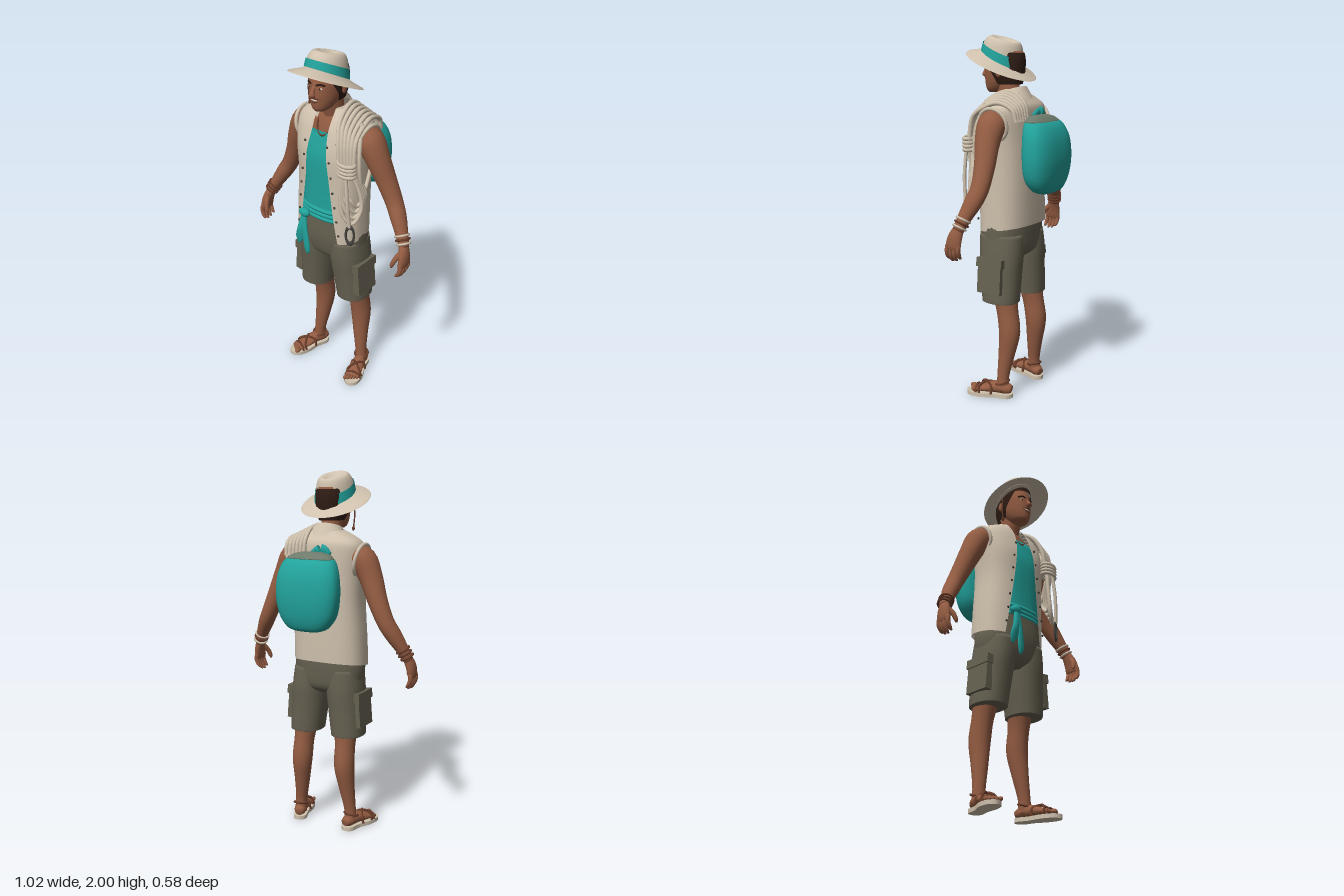
import * as THREE from 'three';

const paint = (name, color, side = THREE.FrontSide) => {
  const m = new THREE.MeshStandardMaterial({ color, side });
  m.name = name;
  return m;
};
const V = (x, y, z) => new THREE.Vector3(x, y, z);

export function createModel() {
  const root = new THREE.Group();
  root.name = 'traveller';
  const D = THREE.DoubleSide;
  const skin = paint('skin', 0x935c42);
  const cream = paint('cream cloth', 0xcfc1ad, D);
  const teal = paint('teal cloth', 0x22a29b, D);
  const khaki = paint('khaki cloth', 0x656050, D);
  const leather = paint('leather', 0x683c2a, D);
  const hairMat = paint('dark hair', 0x2f1d15, D);
  const white = paint('white', 0xe6ddd0);
  const metal = paint('dark metal', 0x45433e);
  const lidMat = paint('pack lid', 0x6d7a6b);

  const add = (name, geo, mat, parent = root) => {
    const m = new THREE.Mesh(geo, mat);
    m.name = name;
    parent.add(m);
    return m;
  };

  // Rows of numbers, smoothed column by column
  const smooth = (rows, k) => {
    const out = [];
    const at = i => rows[Math.max(0, Math.min(rows.length - 1, i))];
    for (let i = 0; i < rows.length - 1; i++) for (let j = 0; j < k; j++) {
      const t = j / k;
      out.push(rows[i].map((p, c) => {
        const a = at(i - 1)[c], q = at(i + 1)[c], d = at(i + 2)[c];
        return p + 0.5 * t * (q - a + t * (2 * a - 5 * p + 4 * q - d + t * (3 * (p - q) + d - a)));
      }));
    }
    out.push(rows[rows.length - 1]);
    return out;
  };

  // Surface through equal-length rings
  const ringsToGeometry = (rings, closed, cap) => {
    const pos = [], idx = [], n = rings[0].length;
    rings.forEach(r => r.forEach(p => pos.push(p.x, p.y, p.z)));
    for (let i = 0; i < rings.length - 1; i++) for (let j = 0; j < (closed ? n : n - 1); j++) {
      const a = i * n + j, b = i * n + (j + 1) % n;
      idx.push(a, b, b + n, a, b + n, a + n);
    }
    if (cap) [0, rings.length - 1].forEach((r, end) => {
      const c = rings[r].reduce((s, p) => s.add(p), V(0, 0, 0)).divideScalar(n);
      const ci = pos.length / 3;
      pos.push(c.x, c.y, c.z);
      for (let j = 0; j < n; j++) {
        const a = r * n + j, b = r * n + (j + 1) % n;
        if (end) idx.push(ci, a, b); else idx.push(ci, b, a);
      }
    });
    const g = new THREE.BufferGeometry();
    g.setAttribute('position', new THREE.Float32BufferAttribute(pos, 3));
    g.setIndex(idx);
    g.computeVertexNormals();
    return g;
  };

  // Upright body from rows [y, cx, cz, rx, rz, tilt, gapRight, gapLeft]
  const loft = (name, mat, rows, { n = 2, seg = 44, k = 4, gap = false, cap = !gap } = {}) => {
    const rings = smooth(rows, k).map(([y, cx, cz, rx, rz, tilt = 0, xr = 0, xl = 0]) => {
      const edge = x => Math.asin(Math.min(1, Math.pow(x / rx, n / 2)));
      const a0 = gap ? edge(xl) : 0, a1 = Math.PI * 2 - (gap ? edge(xr) : 0);
      return Array.from({ length: seg }, (_, j) => {
        const a = a0 + (a1 - a0) * j / (gap ? seg - 1 : seg);
        const pw = v => Math.sign(v) * Math.pow(Math.abs(v), 2 / n);
        const d = rz * pw(Math.cos(a));
        return V(cx + rx * pw(Math.sin(a)), y + d * Math.sin(tilt), cz + d * Math.cos(tilt));
      });
    });
    return add(name, ringsToGeometry(rings, !gap, cap), mat);
  };

  // Limb along rows [x, y, z, radiusAcross, radiusDeep]
  const limb = (name, mat, rows, parent = root, seg = 18, k = 4) => {
    const r = smooth(rows, k), p = r.map(q => V(q[0], q[1], q[2]));
    const rings = r.map((q, i) => {
      const t = p[Math.min(i + 1, p.length - 1)].clone().sub(p[Math.max(i - 1, 0)]).normalize();
      const u = V(1, 0, 0).addScaledVector(t, -t.x).normalize();
      const v = t.clone().cross(u);
      return Array.from({ length: seg }, (_, j) => {
        const a = j / seg * Math.PI * 2;
        return p[i].clone().addScaledVector(u, q[3] * Math.cos(a)).addScaledVector(v, q[4] * Math.sin(a));
      });
    });
    return add(name, ringsToGeometry(rings, true, true), mat, parent);
  };
  const cord = (name, mat, pts, r, closed = false, parent = root) => add(name, new THREE.TubeGeometry(
    new THREE.CatmullRomCurve3(pts.map(p => V(...p)), closed), 48, r, 8, closed), mat, parent);
  const ball = (name, mat, p, s, parent = root) => {
    const m = add(name, new THREE.SphereGeometry(1, 16, 12), mat, parent);
    m.position.set(...p);
    m.scale.set(...s);
    return m;
  };
  const hoop = (name, mat, p, dir, r, tube, parent = root) => {
    const m = add(name, new THREE.TorusGeometry(r, tube, 8, 28), mat, parent);
    m.position.set(...p);
    m.quaternion.setFromUnitVectors(V(0, 0, 1), V(...dir).normalize());
    return m;
  };

  // Hat
  const brim = [];
  for (let i = 0; i <= 12; i++) {
    const t = i / 12, mix = (a, b) => a + (b - a) * t;
    brim.push([mix(1.832, 1.866) + (i % 2) * 0.004, 0, mix(0.1, 0.09), mix(0.19, 0.1), mix(0.207, 0.122), mix(0.4, 0.46)]);
  }
  loft('hatBrim', cream, brim, { k: 1, cap: false, seg: 60 });
  loft('hatCrown', cream, [[1.86, 0, 0.09, 0.106, 0.13, 0.46], [1.91, 0, 0.084, 0.1, 0.122, 0.42], [1.95, 0, 0.076, 0.088, 0.106, 0.32],
    [1.971, 0, 0.07, 0.072, 0.088, 0.28], [1.97, 0, 0.07, 0.05, 0.07, 0.26], [1.955, 0, 0.068, 0.025, 0.045, 0.25]]);
  loft('hatBand', teal, [[1.868, 0, 0.09, 0.11, 0.134, 0.46], [1.915, 0, 0.084, 0.103, 0.125, 0.42]], { cap: false });
  cord('hatCord', leather, [[-0.11, 1.83, 0.1], [-0.115, 1.76, 0.1], [-0.108, 1.69, 0.1]], 0.004);
  ball('cordBead', leather, [-0.108, 1.69, 0.1], [0.008, 0.012, 0.008]);

  // Head and face
  loft('head', skin, [[1.69, 0, 0.135, 0.028, 0.04], [1.708, 0, 0.122, 0.05, 0.066], [1.75, 0, 0.1, 0.07, 0.094],
    [1.8, 0, 0.085, 0.08, 0.11], [1.85, 0, 0.075, 0.084, 0.115], [1.91, 0, 0.07, 0.078, 0.1]]);
  limb('neck', skin, [[0, 1.58, 0.01, 0.066, 0.066], [0, 1.65, 0.035, 0.056, 0.06], [0, 1.75, 0.06, 0.056, 0.065]]);
  limb('nose', skin, [[0, 1.83, 0.184, 0.008, 0.008], [0, 1.8, 0.203, 0.012, 0.012], [0, 1.785, 0.207, 0.018, 0.014], [0, 1.774, 0.196, 0.012, 0.006]]);
  ball('teeth', white, [0, 1.755, 0.184], [0.026, 0.008, 0.012]);
  cord('upperLip', leather, [[-0.033, 1.763, 0.18], [0, 1.766, 0.197], [0.033, 1.763, 0.18]], 0.004);
  cord('lowerLip', leather, [[-0.033, 1.763, 0.18], [0, 1.744, 0.194], [0.033, 1.763, 0.18]], 0.004);
  loft('hairBack', hairMat, [[1.735, 0, 0.055, 0.066, 0.085, 0, 0.063, 0.063], [1.79, 0, 0.07, 0.086, 0.112, 0, 0.082, 0.082],
    [1.86, 0, 0.072, 0.09, 0.118, 0, 0.07, 0.07], [1.9, 0, 0.072, 0.086, 0.11, 0, 0.05, 0.05]], { gap: true });
  loft('hairline', hairMat, [[1.868, 0, 0.076, 0.09, 0.119, 0.1], [1.91, 0, 0.076, 0.086, 0.112, 0.1]], { cap: false });
  for (const s of [1, -1]) {
    ball('eye', white, [s * 0.032, 1.818, 0.18], [0.013, 0.005, 0.006]);
    ball('pupil', hairMat, [s * 0.032, 1.818, 0.185], [0.005, 0.005, 0.003]);
    cord('eyebrow', hairMat, [[s * 0.014, 1.835, 0.19], [s * 0.034, 1.841, 0.184], [s * 0.054, 1.834, 0.168]], 0.005);
    ball('ear', skin, [s * 0.086, 1.8, 0.06], [0.01, 0.028, 0.018]);
  }

  // Torso, undershirt and waist
  loft('chest', skin, [[1.5, 0, 0.015, 0.16, 0.112], [1.6, 0, 0.01, 0.13, 0.095], [1.66, 0, 0.02, 0.07, 0.062]]);
  loft('undershirt', teal, [[1.03, 0, 0.03, 0.182, 0.134], [1.2, 0, 0.03, 0.178, 0.133], [1.4, 0, 0.033, 0.185, 0.134],
    [1.5, 0, 0.026, 0.185, 0.124], [1.58, 0, 0.015, 0.165, 0.115, -0.35]], { n: 2.4, cap: false });
  for (let i = 0; i < 3; i++) loft('sashFold', teal, [[1.06 + i * 0.024, 0, 0.03, 0.184, 0.136, -0.05], [1.074 + i * 0.024, 0, 0.03, 0.19, 0.144, -0.05],
    [1.088 + i * 0.024, 0, 0.03, 0.184, 0.136, -0.05]], { n: 2.4, cap: false });
  ball('sashKnot', teal, [-0.09, 1.075, 0.182], [0.036, 0.026, 0.022]);
  [[-0.12, 0.87, 0.02], [-0.065, 0.82, 0.017], [-0.09, 0.9, 0.024]].forEach(([x, y, w], i) => limb('sashTail', teal,
    [[-0.09, 1.07, 0.185, 0.015, 0.01], [(x - 0.09) / 2, 0.98, 0.2 - i * 0.004, w, 0.011], [x, y + 0.04, 0.195, w * 1.2, 0.008], [x - 0.005, y, 0.19, 0.006, 0.004]]));
  cord('necklace', leather, [[-0.062, 1.63, 0.07], [-0.042, 1.575, 0.12], [0, 1.545, 0.138], [0.042, 1.575, 0.12], [0.062, 1.63, 0.07]], 0.005);

  // Open vest with collar and buttons
  loft('vest', cream, [[0.955, -0.012, 0.03, 0.208, 0.145, -0.15, 0.13, 0.13], [1.1, -0.008, 0.03, 0.205, 0.146, -0.06, 0.11, 0.105],
    [1.3, 0, 0.03, 0.2, 0.147, 0, 0.085, 0.075], [1.45, 0, 0.032, 0.207, 0.146, 0, 0.07, 0.06], [1.56, 0, 0.02, 0.214, 0.132, 0, 0.055, 0.05],
    [1.62, 0, 0.01, 0.2, 0.117, 0, 0.055, 0.05], [1.655, 0, 0.01, 0.15, 0.095, 0, 0.055, 0.05], [1.685, 0, 0.012, 0.085, 0.075, 0, 0.052, 0.048]],
  { n: 2.6, gap: true, seg: 64 });
  loft('collar', cream, [[1.635, 0, 0.015, 0.112, 0.105, -0.25, 0.06, 0.06], [1.675, 0, 0.015, 0.092, 0.085, -0.25, 0.05, 0.05],
    [1.705, 0, 0.02, 0.074, 0.074, -0.3, 0.045, 0.045]], { gap: true });
  for (let i = 0; i < 7; i++) for (const s of [1, -1])
    ball('button', metal, [s * (0.133 - i * 0.011) - (s < 0 ? 0.012 : 0), 1 + i * 0.085, 0.166 + Math.min(i, 3) * 0.003], [0.007, 0.007, 0.005]);

  // Shorts
  loft('shortsHips', khaki, [[0.79, 0, 0.025, 0.13, 0.07], [0.83, 0, 0.025, 0.19, 0.118], [0.92, -0.004, 0.03, 0.202, 0.135],
    [1.0, 0, 0.03, 0.194, 0.137], [1.08, 0, 0.03, 0.183, 0.132]], { n: 2.4 });
  loft('waistband', khaki, [[1.03, 0, 0.03, 0.193, 0.14], [1.065, 0, 0.03, 0.19, 0.139]], { n: 2.4, cap: false });

  for (const s of [1, -1]) {
    loft('shortsLeg', khaki, [[0.552, s * 0.13, 0.015, 0.09, 0.104], [0.57, s * 0.13, 0.015, 0.092, 0.106], [0.7, s * 0.118, 0.02, 0.097, 0.115],
      [0.82, s * 0.108, 0.025, 0.1, 0.126], [0.93, s * 0.095, 0.03, 0.1, 0.125]], { n: 2.3 });
    const pocket = new THREE.Group();
    pocket.name = 'cargoPocket';
    pocket.position.set(s * 0.207, 0.7, 0.03);
    pocket.rotation.z = s * 0.08;
    root.add(pocket);
    add('pocketBag', new THREE.BoxGeometry(0.042, 0.18, 0.15), khaki, pocket);
    add('pocketFlap', new THREE.BoxGeometry(0.056, 0.05, 0.164), khaki, pocket).position.y = 0.08;

    // Legs
    limb('leg', skin, [[s * 0.125, 0.62, -0.005, 0.07, 0.075], [s * 0.132, 0.5, -0.028, 0.056, 0.062], [s * 0.136, 0.38, -0.045, 0.056, 0.061],
      [s * 0.146, 0.25, -0.032, 0.044, 0.047], [s * 0.16, 0.12, -0.018, 0.033, 0.034], [s * 0.165, 0.04, -0.02, 0.035, 0.038]], root, 24);

    // Sandalled foot
    const foot = new THREE.Group();
    foot.name = 'foot';
    foot.position.set(s * 0.165, 0, -0.02);
    foot.rotation.y = s * 0.3;
    root.add(foot);
    const outline = new THREE.Shape();
    outline.setFromPoints(new THREE.CatmullRomCurve3([[0, -0.058], [0.036, -0.035], [0.036, 0.04], [0.05, 0.12], [0.038, 0.19], [0, 0.214],
      [-0.038, 0.19], [-0.05, 0.12], [-0.036, 0.04], [-0.036, -0.035]].map(p => V(p[0], p[1], 0)), true).getPoints(40));
    add('sandalSole', new THREE.ExtrudeGeometry(outline, { depth: 0.022, bevelEnabled: false }).rotateX(Math.PI / 2).translate(0, 0.022, 0), cream, foot);
    limb('footTop', skin, [[0, 0.045, -0.05, 0.022, 0.02], [0, 0.05, -0.02, 0.034, 0.032], [0, 0.055, 0.04, 0.035, 0.034],
      [0, 0.045, 0.1, 0.042, 0.024], [0, 0.037, 0.165, 0.042, 0.014]], foot);
    for (let i = 0; i < 5; i++) ball('toe', skin, [s * (i - 2) * 0.017, 0.034, 0.185 - i * 0.007], [0.011 - i * 0.001, 0.012, 0.02], foot);
    [[0.15, 0.15, 0.058], [0.13, 0.06, 0.082], [0.06, 0.13, 0.08]].forEach(([z0, z1, h]) => cord('sandalStrap', leather,
      [[-0.045, 0.022, z0], [-0.034, h * 0.75, z0], [0, h, (z0 + z1) / 2], [0.034, h * 0.75, z1], [0.045, 0.022, z1]], 0.007, false, foot));
    hoop('ankleStrap', leather, [0, 0.085, 0.004], [0, 1, 0.3], 0.039, 0.006, foot);

    // Arm and armhole trim
    limb('arm', skin, [[s * 0.16, 1.555, 0.01, 0.055, 0.065], [s * 0.215, 1.535, 0.01, 0.07, 0.08], [s * 0.265, 1.44, 0.005, 0.062, 0.068],
      [s * 0.31, 1.33, -0.01, 0.053, 0.057], [s * 0.36, 1.22, -0.015, 0.046, 0.05], [s * 0.4, 1.15, 0, 0.043, 0.048],
      [s * 0.445, 1.07, 0.025, 0.033, 0.037], [s * 0.475, 1.01, 0.042, 0.025, 0.031]], root, 24);
    hoop('armholeTrim', cream, [s * 0.205, 1.53, 0.012], [s, -0.2, 0], 0.088, 0.01);

    // Hand
    limb('palm', skin, [[s * 0.47, 1.02, 0.04, 0.024, 0.03], [s * 0.485, 0.975, 0.054, 0.024, 0.042], [s * 0.491, 0.93, 0.062, 0.02, 0.046], [s * 0.49, 0.91, 0.064, 0.014, 0.04]]);
    for (let i = 0; i < 4; i++) {
      const z = 0.027 + i * 0.024, drop = [0.012, 0, -0.003, 0.006][i];
      limb('finger', skin, [[s * 0.49, 0.935, z, 0.013, 0.012], [s * 0.494, 0.895 + drop, z + 0.002, 0.013, 0.012],
        [s * 0.482, 0.865 + drop, z + 0.004, 0.011, 0.011], [s * 0.468, 0.85 + drop, z + 0.005, 0.005, 0.005]], root, 10);
    }
    limb('thumb', skin, [[s * 0.478, 0.99, 0.07, 0.016, 0.016], [s * 0.46, 0.955, 0.1, 0.014, 0.014], [s * 0.448, 0.92, 0.11, 0.011, 0.011], [s * 0.445, 0.905, 0.11, 0.004, 0.004]], root, 10);
    for (let i = 0; i < 3; i++)
      hoop('bracelet', s > 0 && i !== 1 ? cream : leather, [s * (0.448 + i * 0.01), 1.065 - i * 0.019, 0.027 + i * 0.005], [s * 0.45, -0.9, 0.25], 0.037 - i * 0.001, 0.006);
  }

  // Backpack
  loft('backpack', teal, [[1.165, 0.005, -0.21, 0.07, 0.025], [1.185, 0.005, -0.203, 0.12, 0.055], [1.25, 0.005, -0.198, 0.164, 0.082],
    [1.35, 0.005, -0.2, 0.182, 0.09], [1.45, 0.005, -0.195, 0.177, 0.085], [1.515, 0.005, -0.182, 0.158, 0.072], [1.545, 0.005, -0.17, 0.138, 0.056]], { n: 2.6 });
  loft('backpackLid', lidMat, [[1.544, 0.005, -0.17, 0.138, 0.056], [1.566, 0.005, -0.16, 0.11, 0.042], [1.578, 0.005, -0.155, 0.06, 0.024]], { n: 2.6 });
  limb('backpackTie', teal, [[-0.08, 1.56, -0.12, 0.02, 0.01], [-0.04, 1.59, -0.125, 0.03, 0.014], [0.02, 1.57, -0.12, 0.015, 0.01]]);

  // Rope over the left shoulder, wrapped and hanging in loops
  for (let i = 0; i < 6; i++) cord('shoulderRope', cream, [[0.075 + i * 0.022, 1.55, -0.12], [0.075 + i * 0.023, 1.64 - i * 0.006, -0.1],
    [0.08 + i * 0.024, 1.7 - i * 0.011, -0.01], [0.105 + i * 0.022, 1.65 - i * 0.012, 0.115], [0.135 + i * 0.017, 1.55, 0.17 - i * 0.006],
    [0.155 + i * 0.014, 1.42, 0.18 - i * 0.005]], 0.012);
  for (let i = 0; i < 4; i++) {
    hoop('ropeWrap', cream, [0.188, 1.395 + i * 0.02, 0.17], [0.1, 1, 0], 0.046, 0.011).scale.y = 0.75;
    cord('ropeLoop', cream, [[0.17 + i * 0.01, 1.43, 0.175], [0.165 + i * 0.006, 1.28, 0.19 - i * 0.006], [0.185 + i * 0.008, 1.15 + i * 0.03, 0.185 - i * 0.01],
      [0.222, 1.11 + i * 0.03, 0.16 - i * 0.012], [0.25 - i * 0.004, 1.19 + i * 0.02, 0.12 - i * 0.015], [0.225, 1.33, 0.13 - i * 0.012]], 0.011, true);
  }
  cord('sideRope', cream, [[0.2, 1.64, 0.06], [0.225, 1.5, 0.11], [0.228, 1.34, 0.1], [0.222, 1.27, 0.06], [0.218, 1.33, 0.02], [0.21, 1.42, -0.02]], 0.011);
  cord('ropeEnd', cream, [[0.2, 1.4, 0.19], [0.215, 1.25, 0.195], [0.222, 1.1, 0.185]], 0.01);
  hoop('carabiner', metal, [0.224, 1.05, 0.182], [0.5, 0, 1], 0.022, 0.006).scale.y = 2.3;

  return root;
}
